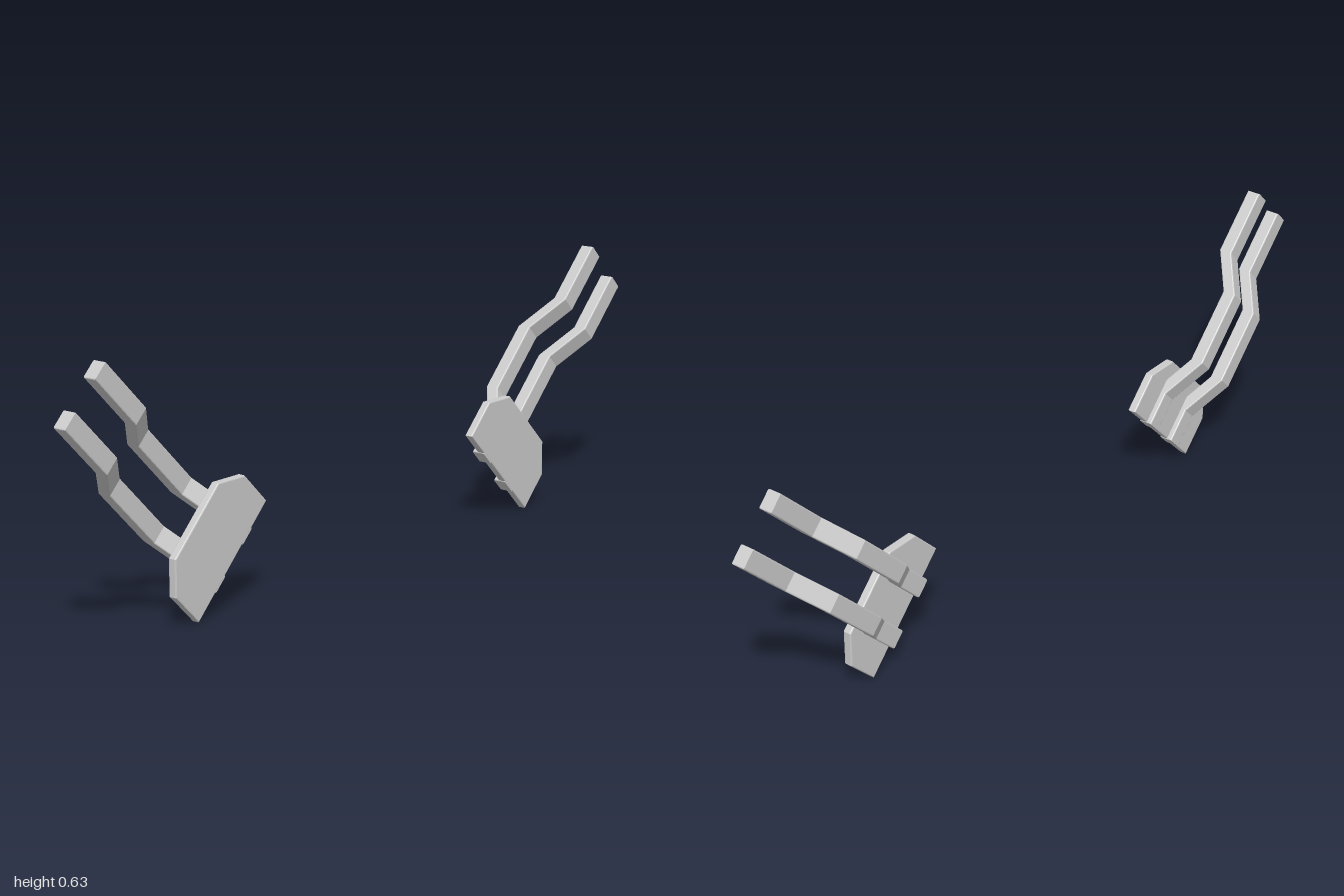
import * as THREE from 'three';

const material = new THREE.MeshStandardMaterial({ color: 0xcccccc, flatShading: true });
const BEVEL = 0.003;

// Extrudes an outline with slightly softened edges, centred on its thickness
function slab(points, thickness) {
  const shape = new THREE.Shape(points.map(([a, b]) => new THREE.Vector2(a, b)));
  const geometry = new THREE.ExtrudeGeometry(shape, {
    depth: thickness - 2 * BEVEL, bevelEnabled: true, bevelSegments: 2,
    bevelSize: BEVEL, bevelThickness: BEVEL, bevelOffset: -BEVEL,
  });
  return geometry.translate(0, 0, BEVEL - thickness / 2);
}

// Rod centre line: [distance along the rod, sideways x]
const ROD_LINE = [[0.43, 0.026], [0.515, 0.026], [0.618, -0.031], [0.806, -0.031], [0.903, 0.029], [1.07, 0.029]];
const ROD_HALF = 0.017;
const ROD_OFFSETS = [-0.201, -0.328];

// Plate outline: [distance along the rods, offset across them]
const PLATE = [[0.432, -0.428], [0.534, -0.428], [0.595, -0.367], [0.595, -0.167], [0.534, -0.106], [0.432, -0.106]];

function createBracket(side) {
  const bracket = new THREE.Group();
  bracket.name = side > 0 ? 'frontBracket' : 'backBracket';

  // Directions along and across the rods, tilted 45 degrees
  const along = new THREE.Vector3(0, 1, side).normalize();
  const across = new THREE.Vector3(0, 1, -side).normalize();
  const sideways = new THREE.Vector3(1, 0, 0);

  const add = (name, geometry, u, v, position) => {
    const w = new THREE.Vector3().crossVectors(u, v);
    geometry.applyMatrix4(new THREE.Matrix4().makeBasis(u, v, w).setPosition(position));
    const mesh = new THREE.Mesh(geometry, material);
    mesh.name = name;
    bracket.add(mesh);
  };

  // Mounting plate with two chamfered corners
  add('mountingPlate', slab(PLATE, 0.021), along, across, new THREE.Vector3(0.0328, 0, 0));

  // Pair of cranked rods
  const outline = [
    ...ROD_LINE.map(([s, x]) => [s, x - ROD_HALF]),
    ...ROD_LINE.map(([s, x]) => [s, x + ROD_HALF]).reverse(),
  ];
  ROD_OFFSETS.forEach((offset, i) => {
    add(i ? 'lowerRod' : 'upperRod', slab(outline, 0.046), along, sideways, across.clone().multiplyScalar(offset));
  });
  return bracket;
}

export function createModel() {
  const model = new THREE.Group();
  model.name = 'bracketPair';
  model.add(createBracket(1), createBracket(-1));
  return model;
}
